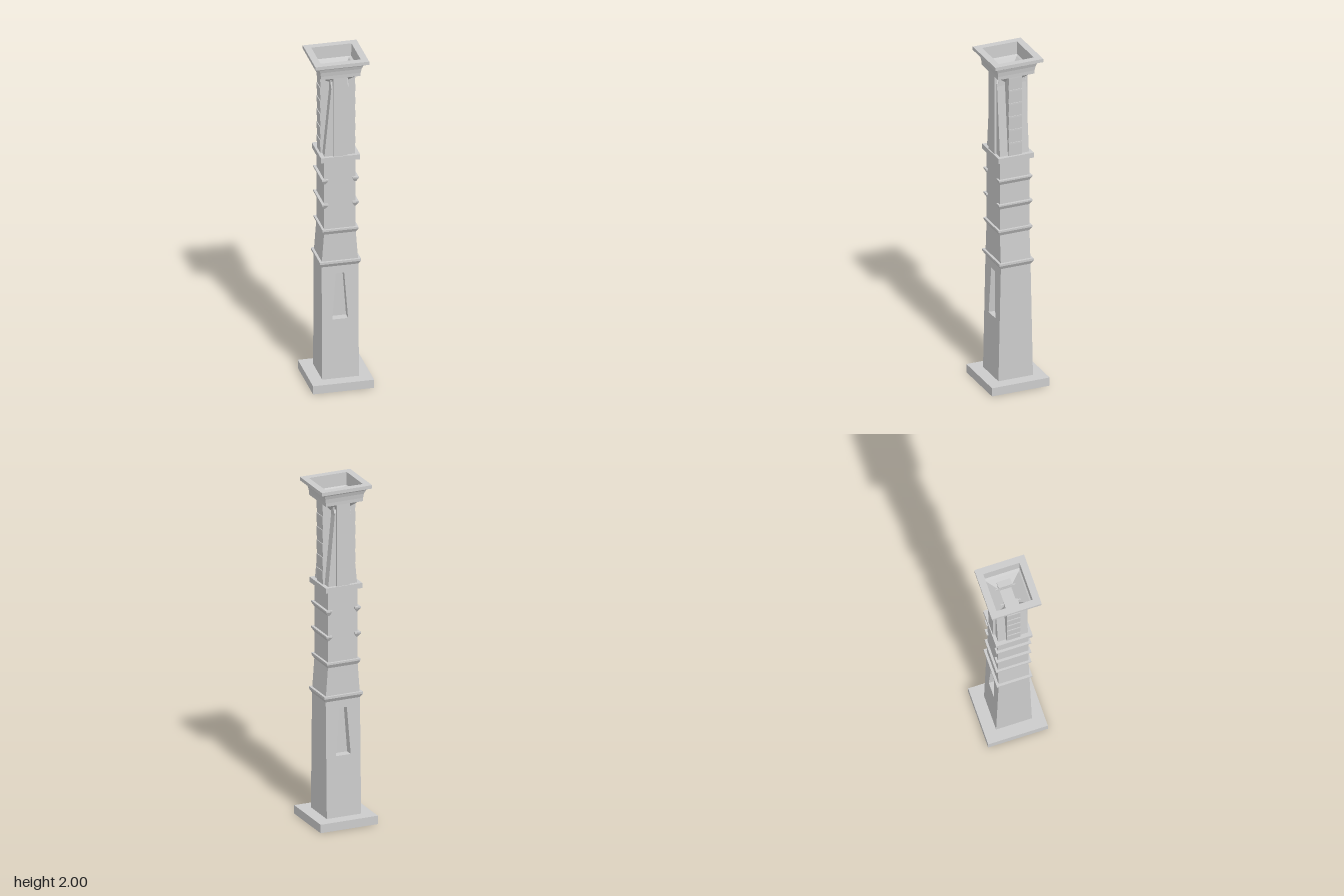
import * as THREE from 'three';

const mat = new THREE.MeshStandardMaterial({ color: 0xcccccc, flatShading: true });

// Skin through rectangular sections [y, halfX, halfZ], listed upward on the outside
function loft(rings, capBottom = true, capTop = true) {
  const pos = [];
  const pt = ([y, hx, hz], i) => [[-hx, y, hz], [hx, y, hz], [hx, y, -hz], [-hx, y, -hz]][i % 4];
  const quad = (a, b, c, d) => pos.push(...a, ...b, ...c, ...a, ...c, ...d);
  for (let r = 0; r < rings.length - 1; r++) {
    for (let i = 0; i < 4; i++) {
      quad(pt(rings[r], i), pt(rings[r], i + 1), pt(rings[r + 1], i + 1), pt(rings[r + 1], i));
    }
  }
  const lo = rings[0], hi = rings[rings.length - 1];
  if (capBottom) quad(pt(lo, 3), pt(lo, 2), pt(lo, 1), pt(lo, 0));
  if (capTop) quad(pt(hi, 0), pt(hi, 1), pt(hi, 2), pt(hi, 3));
  const g = new THREE.BufferGeometry();
  g.setAttribute('position', new THREE.Float32BufferAttribute(pos, 3));
  g.computeVertexNormals();
  return g;
}

export function createModel() {
  const model = new THREE.Group();
  const add = (name, geometry, x = 0, y = 0, z = 0) => {
    const mesh = new THREE.Mesh(geometry, mat);
    mesh.name = name;
    mesh.position.set(x, y, z);
    model.add(mesh);
    return mesh;
  };

  add('base', new THREE.BoxGeometry(0.35, 0.05, 0.35), 0, 0.025, 0);

  // Lower shaft: pierced outline, then tapered in depth towards the top
  const outline = new THREE.Shape([[-0.105, 0.05], [0.105, 0.05], [0.105, 0.75], [-0.105, 0.75]]
    .map(p => new THREE.Vector2(...p)));
  outline.holes.push(new THREE.Path([[-0.045, 0.41], [-0.024, 0.69], [0.024, 0.69], [0.045, 0.41]]
    .map(p => new THREE.Vector2(...p))));
  const lower = new THREE.ExtrudeGeometry(outline, { depth: 2, bevelEnabled: false });
  lower.translate(0, 0, -1);
  const p = lower.attributes.position;
  for (let i = 0; i < p.count; i++) {
    p.setZ(i, p.getZ(i) * THREE.MathUtils.mapLinear(p.getY(i), 0.05, 0.75, 0.105, 0.09));
  }
  lower.computeVertexNormals();
  add('lowerShaft', lower);
  add('nicheBack', new THREE.BoxGeometry(0.1, 0.3, 0.1), 0, 0.55, 0);

  // Upper shaft
  add('upperShaft', loft([[0.75, 0.105, 0.09], [0.95, 0.09, 0.09], [1.39, 0.09, 0.09]]));

  // Mouldings that run all the way round
  add('lowerMoulding', loft([[0.735, 0.105, 0.09], [0.757, 0.118, 0.104], [0.77, 0.118, 0.104]]));
  add('middleMoulding', loft([[0.935, 0.091, 0.09], [0.957, 0.103, 0.103], [0.968, 0.103, 0.103]]));

  // Short mouldings on the two side faces only
  for (const y of [1.12, 1.27]) {
    for (const s of [-1, 1]) {
      add('sideMoulding', loft([[y - 0.025, 0.005, 0.09], [y - 0.003, 0.018, 0.102],
        [y + 0.006, 0.018, 0.102]]), s * 0.087, 0, 0);
    }
  }

  add('ledge', loft([[1.385, 0.112, 0.107], [1.415, 0.112, 0.107]]));

  // Tapered lantern core with two thin side plates reaching into the bowl
  add('lanternCore', loft([[1.415, 0.088, 0.088], [1.845, 0.047, 0.088]]));
  for (const s of [-1, 1]) {
    add('lanternPlate', loft([[1.83, 0.003, 0.088], [1.88, 0.003, 0.07]]), s * 0.047, 0, 0);
    // Flat pilaster on front and back
    add('pilaster', new THREE.BoxGeometry(0.08, 0.485, 0.016), 0, 1.6575, s * 0.093);
    // Stepped pilaster on each side
    for (let i = 0; i < 6; i++) {
      const y = 1.415 + i * 0.0805;
      add('steppedPilaster', loft([[y, 0.025, 0.04], [y + 0.07, 0.029, 0.04],
        [y + 0.0805, 0.029, 0.04]]), s * 0.073, 0, 0);
    }
  }

  // Flared cornice with a hollow bowl
  add('cornice', loft([
    [1.845, 0.048, 0.033], [1.9, 0.1, 0.1], [1.9, 0.113, 0.11], [1.92, 0.114, 0.111],
    [1.945, 0.118, 0.115], [1.965, 0.125, 0.122], [1.98, 0.136, 0.132],
    [1.98, 0.154, 0.146], [2.0, 0.154, 0.146], [2.0, 0.115, 0.106],
    [1.925, 0.113, 0.105], [1.92, 0.098, 0.097], [1.855, 0.049, 0.034],
  ]));

  return model;
}
